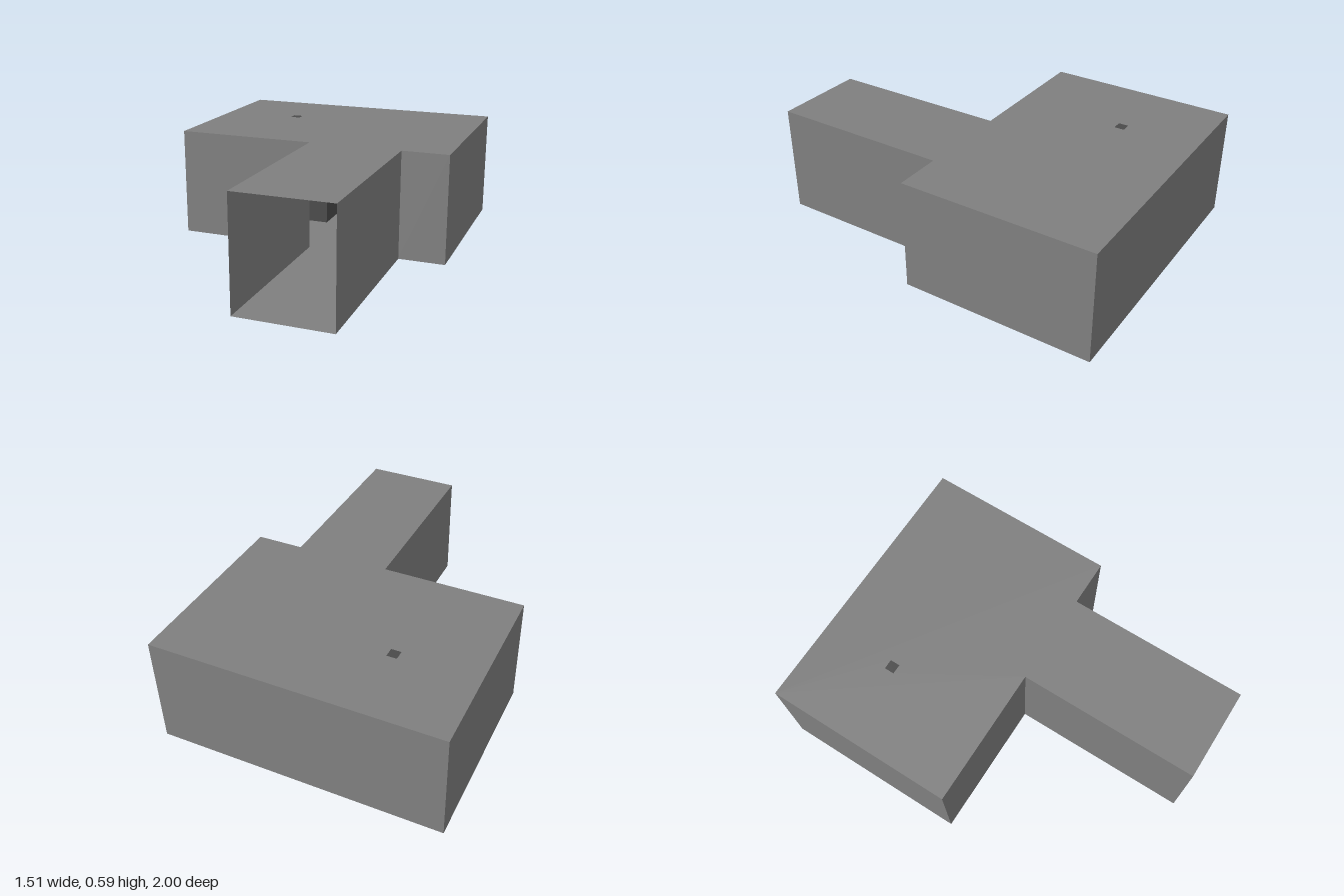
import * as THREE from 'three';

const HEIGHT = 0.59;

// Floor plan as [x, z]: wide room at the back, open-ended corridor at the front
const PLAN = [
  [0, 1], [0, 0.025], [-0.757, 0.025], [-0.757, -1],
  [0.757, -1], [0.757, 0.025], [0.505, 0.025], [0.505, 1],
];
const BLOCK = { x: -0.332, z: -0.585, w: 0.545, d: 0.36, h: 0.22 };
const POST = { x: -0.32, z: -0.582, w: 0.053, d: 0.053 };

export function createModel() {
  const model = new THREE.Group();
  const shellGrey = new THREE.MeshStandardMaterial({ color: 0x7f7f7f, side: THREE.DoubleSide });
  shellGrey.name = 'shell grey';
  const darkGrey = new THREE.MeshStandardMaterial({ color: 0x4a4a4a });
  darkGrey.name = 'dark grey';

  const add = (name, geometry, material, x = 0, y = 0, z = 0) => {
    const mesh = new THREE.Mesh(geometry, material);
    mesh.name = name;
    mesh.position.set(x, y, z);
    model.add(mesh);
    return mesh;
  };

  // Horizontal sheet following the plan, cut out where a fitting passes through
  const sheet = ({ x, z, w, d }) => {
    const shape = new THREE.Shape(PLAN.map(([px, pz]) => new THREE.Vector2(px, pz)));
    const corners = [[-1, -1], [-1, 1], [1, 1], [1, -1]];
    shape.holes.push(new THREE.Path(
      corners.map(([a, b]) => new THREE.Vector2(x + a * w / 2, z + b * d / 2))));
    return new THREE.ShapeGeometry(shape).rotateX(Math.PI / 2);
  };
  add('floor', sheet(BLOCK), shellGrey);
  add('ceiling', sheet(POST), shellGrey, 0, HEIGHT, 0);

  // Paper-thin walls along every plan edge except the corridor mouth
  for (let i = 0; i < PLAN.length - 1; i++) {
    const [x0, z0] = PLAN[i];
    const [x1, z1] = PLAN[i + 1];
    const length = Math.hypot(x1 - x0, z1 - z0);
    const wall = add('wall' + (i + 1), new THREE.PlaneGeometry(length, HEIGHT), shellGrey,
      (x0 + x1) / 2, HEIGHT / 2, (z0 + z1) / 2);
    wall.rotation.y = Math.atan2(z0 - z1, x1 - x0) + Math.PI;
  }

  // Dark block standing in the room, with a post rising to the ceiling
  add('floorBlock', new THREE.BoxGeometry(BLOCK.w, BLOCK.h, BLOCK.d), darkGrey,
    BLOCK.x, BLOCK.h / 2, BLOCK.z);
  const postHeight = HEIGHT - BLOCK.h;
  add('ceilingPost', new THREE.BoxGeometry(POST.w, postHeight, POST.d), darkGrey,
    POST.x, BLOCK.h + postHeight / 2, POST.z);

  return model;
}
